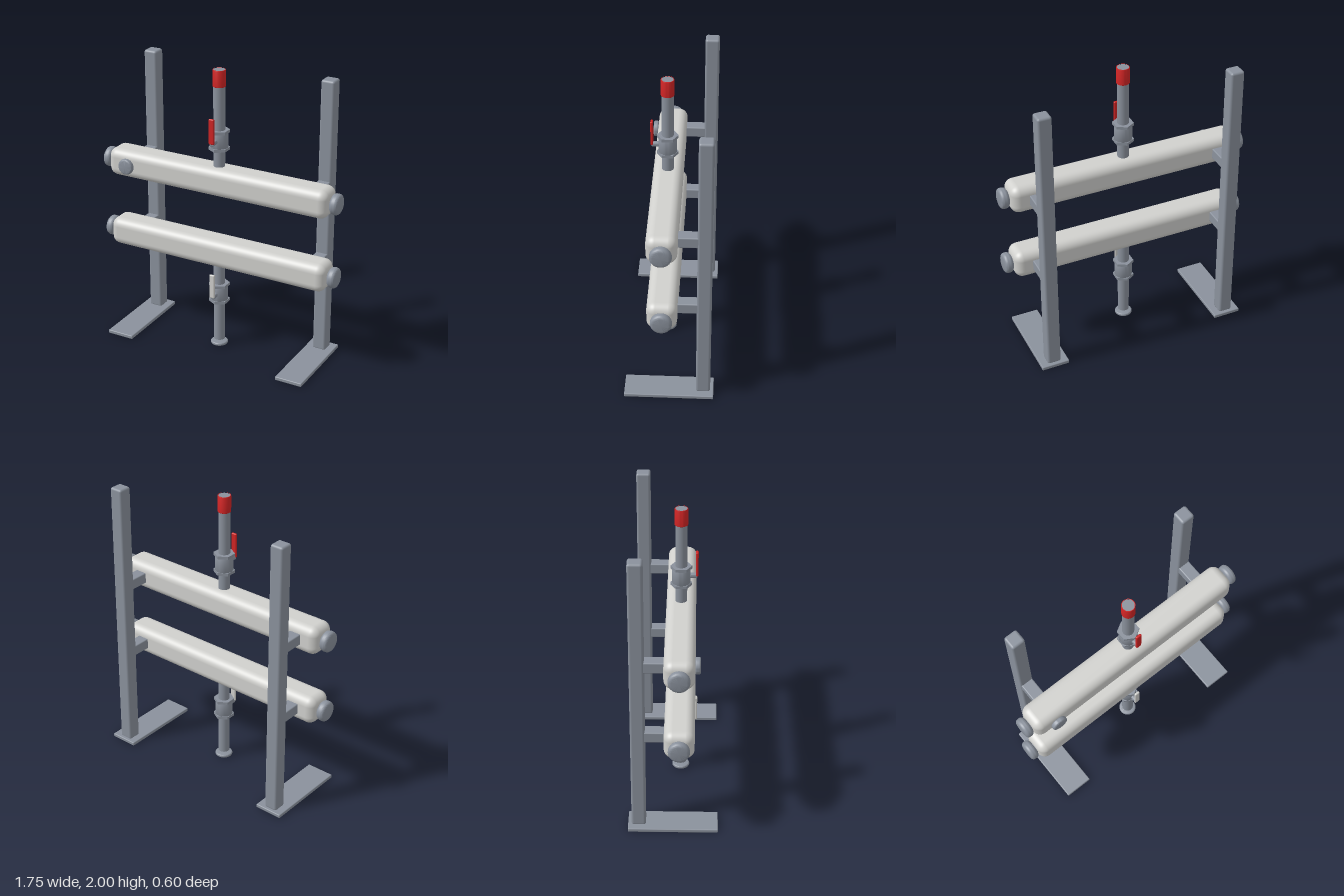
import * as THREE from 'three';
import { RoundedBoxGeometry } from 'three/addons/geometries/RoundedBoxGeometry.js';
import { toCreasedNormals } from 'three/addons/utils/BufferGeometryUtils.js';

const mat = (name, color) => {
  const m = new THREE.MeshStandardMaterial({ color });
  m.name = name;
  return m;
};

export function createModel() {
  const steel = mat('steel', 0x8a919c);
  const pale = mat('paleGrey', 0xd0d0cd);
  const red = mat('red', 0xd02424);
  const model = new THREE.Group();
  const PIPE_Z = 0.041, POST_X = 0.657, POST_Z = -0.227;

  function add(name, geometry, material, x, y, z, parent = model) {
    const mesh = new THREE.Mesh(geometry, material);
    mesh.name = name;
    mesh.position.set(x, y, z);
    parent.add(mesh);
    return mesh;
  }
  const box = (w, h, d, r, s = 3) => new RoundedBoxGeometry(w, h, d, s, r);

  // Disc along y, centred, with rounded rims
  function disc(radius, height, round, sides = 40) {
    const pts = [new THREE.Vector2(0, -height / 2)];
    for (const top of [0, 1]) {
      for (let i = 0; i <= 5; i++) {
        const a = (top - 1 + i / 5) * Math.PI / 2;
        pts.push(new THREE.Vector2(radius - round + Math.cos(a) * round,
          (top ? 1 : -1) * (height / 2 - round) + Math.sin(a) * round));
      }
    }
    pts.push(new THREE.Vector2(0, height / 2));
    return toCreasedNormals(new THREE.LatheGeometry(pts, sides), 0.6);
  }
  const tube = (r, y0, y1) => new THREE.CylinderGeometry(r, r, y1 - y0, 32).translate(0, (y0 + y1) / 2, 0);

  // Uprights on long foot plates
  for (const side of [-1, 1]) {
    const name = side > 0 ? 'left' : 'right';
    add(name + 'Post', box(0.095, 1.945, 0.095, 0.016), steel, side * POST_X, 0.99, POST_Z);
    add(name + 'FootPlate', box(0.195, 0.026, 0.595, 0.006), steel, side * POST_X, 0.013, 0);
  }

  // Two horizontal manifolds with end caps and brackets to the posts
  for (const [name, y] of [['upper', 1.24], ['lower', 0.72]]) {
    const manifold = new THREE.Group();
    manifold.name = name + 'Manifold';
    manifold.position.y = y;
    model.add(manifold);
    add('manifoldBody', box(1.63, 0.195, 0.197, 0.058, 6), pale, 0, 0, PIPE_Z, manifold);
    for (const side of [-1, 1]) {
      add('endCap', disc(0.07, 0.057, 0.022), steel, side * 0.847, 0, PIPE_Z, manifold).rotation.z = Math.PI / 2;
      add('capNeck', disc(0.045, 0.05, 0.004), steel, side * 0.815, 0, PIPE_Z, manifold).rotation.z = Math.PI / 2;
      add('bracket', box(0.085, 0.075, 0.17, 0.008), steel, side * POST_X, 0, -0.125, manifold);
    }
  }

  // Round plug on the front of the upper manifold
  add('frontPlug', disc(0.055, 0.036, 0.013), steel, -POST_X, 1.24, 0.156).rotation.x = Math.PI / 2;

  // Vertical pipes, red sleeve and foot disc
  add('upperPipe', tube(0.039, 1.3, 1.998), steel, 0, 0, PIPE_Z);
  add('lowerPipe', tube(0.039, 0.045, 0.66), steel, 0, 0, PIPE_Z);
  const sleeve = [[0.0385, 1.885], [0.044, 1.889], [0.044, 1.995], [0.042, 2], [0.0385, 2]]
    .map(([r, y]) => new THREE.Vector2(r, y));
  add('redSleeve', toCreasedNormals(new THREE.LatheGeometry(sleeve, 40), 0.6), red, 0, 0, PIPE_Z);
  add('pipeFoot', disc(0.06, 0.022, 0.01), steel, 0, 0.016, PIPE_Z);

  // Ball valves: round body between hexagonal nuts, with a lever in front
  for (const [name, y, leverColor] of [['upper', 1.522, red], ['lower', 0.405, pale]]) {
    const valve = new THREE.Group();
    valve.name = name + 'Valve';
    valve.position.set(0, y, PIPE_Z);
    model.add(valve);
    add('valveBody', disc(0.06, 0.12, 0.006), steel, 0, 0, 0, valve);
    for (const s of [-1, 1]) {
      const nut = new THREE.CylinderGeometry(0.071, 0.071, 0.02, 6);
      add('hexNut', toCreasedNormals(nut, 0.5), steel, 0, s * 0.06, 0, valve);
    }
    add('leverStem', disc(0.018, 0.07, 0.006, 24), steel, 0, 0, 0.07, valve).rotation.x = Math.PI / 2;
    add('lever', box(0.04, 0.175, 0.018, 0.008), leverColor, 0, 0.085, 0.103, valve);
  }
  return model;
}
